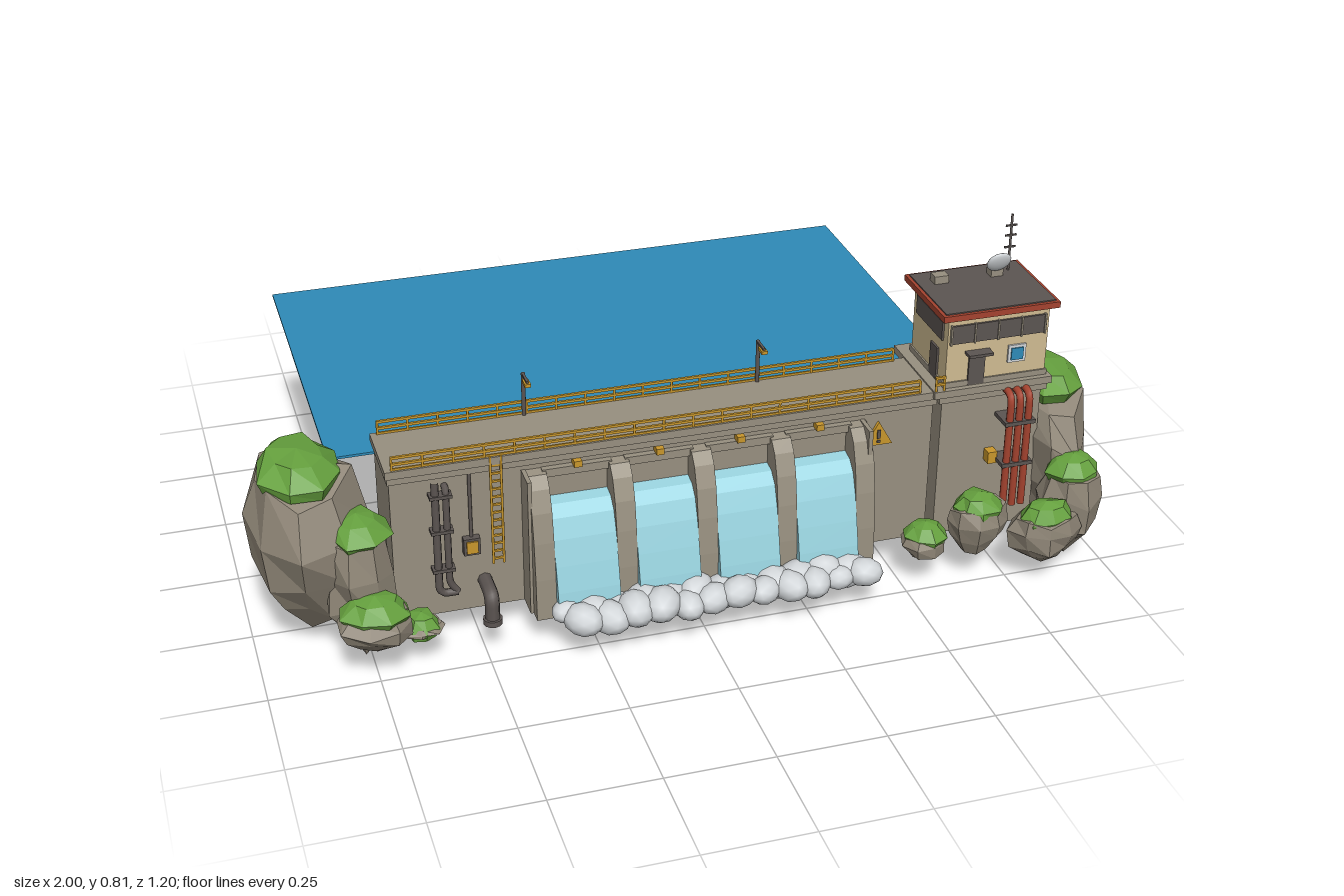
import * as THREE from 'three';

const mat = (name, color) => Object.assign(new THREE.MeshStandardMaterial({ color }), { name });

export function createModel() {
  const model = new THREE.Group();
  const M = {
    concrete: mat('concrete', 0x989080), rock: mat('rock', 0x8e8576), grass: mat('grass', 0x65a03e),
    lake: mat('lake blue', 0x2e8bb8), fall: mat('falling water', 0x98d2de), foam: mat('foam white', 0xd3d7da),
    gold: mat('safety yellow', 0xc9972c), dark: mat('dark metal', 0x5c5552), red: mat('brick red', 0xa5432f),
    cream: mat('cream wall', 0xd0bc92),
  };
  const add = (name, geo, m, x = 0, y = 0, z = 0, parent = model) => {
    const mesh = new THREE.Mesh(geo, m);
    mesh.name = name;
    mesh.position.set(x, y, z);
    parent.add(mesh);
    return mesh;
  };
  // Box given by its limits on each axis
  const box = (name, m, x0, x1, y0, y1, z0, z1) =>
    add(name, new THREE.BoxGeometry(x1 - x0, y1 - y0, z1 - z0), m, (x0 + x1) / 2, (y0 + y1) / 2, (z0 + z1) / 2);
  // Upright cylinder from y0 to y1
  const post = (name, m, r, x, y0, y1, z) =>
    add(name, new THREE.CylinderGeometry(r, r, y1 - y0, 8), m, x, (y0 + y1) / 2, z);
  // Bent pipe through points
  const pipe = (name, m, r, pts) => {
    const path = new THREE.CurvePath();
    const v = pts.map(p => new THREE.Vector3(...p));
    let from = v[0];
    for (let i = 1; i < v.length - 1; i++) {
      const bend = Math.min(0.025, v[i].distanceTo(v[i - 1]) / 2, v[i].distanceTo(v[i + 1]) / 2);
      const a = v[i].clone().add(v[i - 1].clone().sub(v[i]).setLength(bend));
      const b = v[i].clone().add(v[i + 1].clone().sub(v[i]).setLength(bend));
      path.add(new THREE.LineCurve3(from, a));
      path.add(new THREE.QuadraticBezierCurve3(a, v[i], b));
      from = b;
    }
    path.add(new THREE.LineCurve3(from, v[v.length - 1]));
    return add(name, new THREE.TubeGeometry(path, 40, r, 8), m);
  };
  // Side profile in (z, y), extruded along x around a centre
  const slab = (name, m, pts, x, w) => {
    const g = new THREE.ExtrudeGeometry(new THREE.Shape(pts.map(p => new THREE.Vector2(...p))),
      { depth: w, bevelEnabled: false });
    return add(name, g.rotateY(-Math.PI / 2).translate(w / 2, 0, 0), m, x);
  };
  let seed = 7;
  const rnd = () => (seed = (seed * 16807) % 2147483647) / 2147483647;
  // Faceted lump: a lathe whose rings are jittered, scaled to size
  const lump = (name, m, profile, sides, jitter, x, y, z, rx, h, rz, lean = 0) => {
    const g = new THREE.LatheGeometry(profile.map(p => new THREE.Vector2(...p)), sides, rnd() * 6);
    const n = profile.length, p = g.attributes.position;
    const k = Array.from({ length: sides * n }, () => [1 + (rnd() - 0.5) * jitter, (rnd() - 0.5) * jitter * 0.45]);
    for (let i = 0; i < p.count; i++) {
      const [s, dy] = k[i % (sides * n)], tip = profile[i % n][0] === 0, t = p.getY(i);
      p.setXYZ(i, p.getX(i) * s * rx, (t + (tip ? 0 : dy)) * h, p.getZ(i) * s * rz + (1 - t) * lean);
    }
    const flat = g.toNonIndexed();
    flat.computeVertexNormals();
    return add(name, flat, m, x, y, z);
  };

  // Lake behind the dam
  box('lake', M.lake, -0.8, 0.695, 0.432, 0.438, -0.605, 0.25);

  // Dam wall and deck
  box('damWall', M.concrete, -0.69, 0.585, 0.078, 0.44, 0.215, 0.39);
  box('deckFascia', M.concrete, -0.695, 0.59, 0.435, 0.455, 0.235, 0.4);
  box('deck', M.concrete, -0.7, 0.59, 0.455, 0.474, 0.23, 0.41);

  // Railings on both deck edges
  for (const z of [0.238, 0.403]) {
    for (const y of [0.489, 0.505]) box('railing', M.gold, -0.685, 0.545, y - 0.003, y + 0.003, z - 0.003, z + 0.003);
    box('kickBoard', M.gold, -0.685, 0.545, 0.474, 0.479, z - 0.002, z + 0.002);
    for (let i = 0; i <= 18; i++) post('railingPost', M.gold, 0.003, -0.683 + i * 0.0682, 0.472, 0.505, z);
  }

  // Deck lamps
  for (const x of [-0.35, 0.205]) {
    post('lampPost', M.dark, 0.005, x, 0.47, 0.58, 0.243);
    box('lampArm', M.dark, x - 0.003, x + 0.003, 0.574, 0.58, 0.243, 0.285);
    box('lampHead', M.gold, x - 0.007, x + 0.007, 0.567, 0.575, 0.262, 0.29);
  }

  // Spillway: piers, falling water, lamps over each bay
  const pierSide = [[0.38, 0.078], [0.482, 0.078], [0.479, 0.18], [0.47, 0.27], [0.457, 0.34], [0.438, 0.39], [0.415, 0.415], [0.38, 0.42]];
  for (let i = 0; i < 5; i++) slab('spillwayPier', M.concrete, pierSide, -0.365 + i * 0.19, 0.046);
  const fallSide = [[0.38, 0.09], [0.508, 0.09], [0.497, 0.15], [0.482, 0.21], [0.464, 0.27], [0.445, 0.315], [0.42, 0.338], [0.38, 0.345]];
  for (let i = 0; i < 4; i++) {
    const x = -0.27 + i * 0.19;
    slab('fallingWater', M.fall, fallSide, x, 0.144);
    box('bayHeader', M.concrete, x - 0.08, x + 0.08, 0.4, 0.42, 0.38, 0.405);
    box('bayLamp', M.gold, x - 0.009, x + 0.009, 0.42, 0.435, 0.39, 0.415);
  }
  box('rightButtress', M.concrete, 0.405, 0.415, 0.078, 0.42, 0.38, 0.45);
  box('leftButtress', M.concrete, -0.395, -0.385, 0.078, 0.42, 0.38, 0.45);

  // Foam at the foot of the spillway
  for (let i = 0; i < 24; i++) {
    const r = 0.032 + rnd() * 0.016;
    const f = add('foam', new THREE.IcosahedronGeometry(r, 1), M.foam,
      -0.325 + (i / 23) * 0.7, 0.088 + rnd() * 0.018, 0.495 + (i % 2) * 0.035 + rnd() * 0.01);
    f.scale.set(1.15, 0.85, 0.95);
    f.rotation.y = rnd() * 3;
  }

  // Wall fittings: drain pipes, switch box, ladder, outlet, warning sign
  pipe('drainPipe', M.dark, 0.009, [[-0.592, 0.43, 0.405], [-0.592, 0.14, 0.405], [-0.55, 0.14, 0.405]]);
  pipe('drainPipe', M.dark, 0.008, [[-0.568, 0.41, 0.385], [-0.568, 0.41, 0.405], [-0.568, 0.165, 0.405], [-0.55, 0.14, 0.405]]);
  for (const y of [0.2, 0.3, 0.39]) box('pipeClamp', M.dark, -0.606, -0.555, y, y + 0.008, 0.388, 0.416);
  post('conduit', M.dark, 0.004, -0.513, 0.27, 0.435, 0.395);
  box('switchBox', M.dark, -0.533, -0.495, 0.23, 0.272, 0.388, 0.408);
  box('switchBoxDoor', M.gold, -0.527, -0.501, 0.236, 0.266, 0.408, 0.412);
  for (const x of [-0.467, -0.443]) post('ladderRail', M.gold, 0.003, x, 0.2, 0.475, 0.408);
  for (let i = 0; i < 13; i++) box('ladderRung', M.gold, -0.467, -0.443, 0.21 + i * 0.02, 0.215 + i * 0.02, 0.405, 0.41);
  pipe('outletPipe', M.dark, 0.017, [[-0.485, 0.15, 0.38], [-0.485, 0.15, 0.46], [-0.485, 0.085, 0.46]]);
  add('outletRim', new THREE.CylinderGeometry(0.022, 0.022, 0.014, 12), M.dark, -0.485, 0.085, 0.46);
  const sign = add('warningSign', new THREE.CylinderGeometry(0.04, 0.04, 0.008, 3), M.gold, 0.45, 0.37, 0.395);
  sign.rotation.x = Math.PI / 2;
  sign.rotation.y = Math.PI;
  sign.rotation.z = 0;
  box('warningMark', M.dark, 0.446, 0.454, 0.368, 0.39, 0.397, 0.402);
  box('warningDot', M.dark, 0.446, 0.454, 0.357, 0.363, 0.397, 0.402);

  // Control house on its tower
  box('towerBase', M.concrete, 0.605, 0.855, 0.078, 0.46, 0.21, 0.395);
  box('towerCorbel', M.concrete, 0.592, 0.862, 0.44, 0.46, 0.19, 0.41);
  box('towerPlatform', M.concrete, 0.575, 0.868, 0.46, 0.478, 0.172, 0.42);
  box('houseWalls', M.cream, 0.605, 0.855, 0.478, 0.655, 0.207, 0.403);
  box('houseSkirting', M.concrete, 0.601, 0.859, 0.478, 0.492, 0.203, 0.407);
  box('roofTrim', M.red, 0.585, 0.872, 0.655, 0.67, 0.186, 0.42);
  box('roofTop', M.dark, 0.593, 0.864, 0.668, 0.673, 0.194, 0.412);
  box('windowBand', M.dark, 0.612, 0.848, 0.59, 0.636, 0.4, 0.408);
  for (let i = 0; i <= 4; i++) box('windowBar', M.concrete, 0.61 + i * 0.058, 0.614 + i * 0.058, 0.588, 0.638, 0.401, 0.411);
  box('door', M.dark, 0.66, 0.7, 0.48, 0.555, 0.4, 0.408);
  box('doorCanopy', M.dark, 0.65, 0.71, 0.56, 0.567, 0.4, 0.43);
  box('windowFrame', M.foam, 0.757, 0.801, 0.523, 0.567, 0.4, 0.408);
  box('windowPane', M.lake, 0.764, 0.794, 0.53, 0.56, 0.402, 0.411);
  box('sideWindowBand', M.dark, 0.6, 0.607, 0.59, 0.636, 0.23, 0.38);
  box('sideDoor', M.dark, 0.6, 0.607, 0.48, 0.56, 0.32, 0.36);
  box('airUnit', M.foam, 0.85, 0.885, 0.59, 0.618, 0.31, 0.33);
  for (const y of [0.495, 0.512]) box('platformRail', M.gold, 0.577, 0.602, y - 0.003, y + 0.003, 0.41, 0.416);
  for (const x of [0.58, 0.6]) post('platformPost', M.gold, 0.003, x, 0.475, 0.512, 0.413);

  // Roof equipment
  box('roofVent', M.concrete, 0.628, 0.663, 0.67, 0.692, 0.235, 0.262);
  box('dishMount', M.concrete, 0.77, 0.8, 0.67, 0.692, 0.235, 0.262);
  post('dishStand', M.dark, 0.004, 0.785, 0.68, 0.715, 0.255);
  const dish = add('dish', new THREE.SphereGeometry(0.03, 16, 10), M.foam, 0.782, 0.715, 0.272);
  dish.scale.z = 0.3;
  dish.rotation.x = 0.45;
  post('antenna', M.dark, 0.003, 0.825, 0.67, 0.815, 0.235);
  for (const y of [0.73, 0.76, 0.785]) box('antennaBar', M.dark, 0.811, 0.839, y, y + 0.004, 0.233, 0.237);

  // Red supply pipes down the tower
  for (const x of [0.757, 0.78, 0.803])
    pipe('supplyPipe', M.red, 0.009, [[x, 0.457, 0.39], [x, 0.457, 0.445], [x, 0.16, 0.445]]);
  for (const y of [0.27, 0.38]) box('pipeBracket', M.dark, 0.742, 0.818, y, y + 0.01, 0.39, 0.456);
  box('valveBox', M.gold, 0.722, 0.745, 0.265, 0.295, 0.39, 0.42);

  // Rocks with grass caps: x, z, rx, rz, bottom, top, cap rx, cap rz, lean of the tip
  const rockSide = [[0, 0], [0.5, 0.18], [0.88, 0.42], [1, 0.68], [0.82, 0.93], [0, 1]];
  const capSide = [[0, 0.1], [0.85, 0], [1, 0.4], [0.62, 0.85], [0, 1]];
  const rocks = [
    [-0.87, 0.285, 0.135, 0.155, 0.045, 0.46, 0.1, 0.13, 0.03],
    [-0.765, 0.385, 0.085, 0.09, 0.01, 0.34, 0.075, 0.08, 0.02],
    [-0.75, 0.485, 0.085, 0.065, 0.07, 0.185, 0.08, 0.06, 0],
    [-0.645, 0.455, 0.05, 0.05, 0.075, 0.11, 0.045, 0.045, 0],
    [0.92, 0.29, 0.085, 0.165, 0.0, 0.42, 0.075, 0.12, 0.07],
    [0.915, 0.475, 0.075, 0.075, 0.02, 0.265, 0.065, 0.06, 0],
    [0.825, 0.535, 0.085, 0.065, 0.045, 0.185, 0.07, 0.05, 0],
    [0.675, 0.48, 0.075, 0.06, 0.06, 0.205, 0.06, 0.055, 0],
    [0.555, 0.46, 0.055, 0.055, 0.055, 0.135, 0.05, 0.05, 0],
  ];
  for (const [x, z, rx, rz, y0, y1, cx, cz, lean] of rocks) {
    lump('rock', M.rock, rockSide, 8, 0.28, x, y0, z, rx, y1 - y0, rz, lean);
    const h = 0.035 + cx * 0.45;
    lump('grassCap', M.grass, capSide, 8, 0.24, x, y1 - h * 0.55, z, cx, h, cz);
  }
  return model;
}
